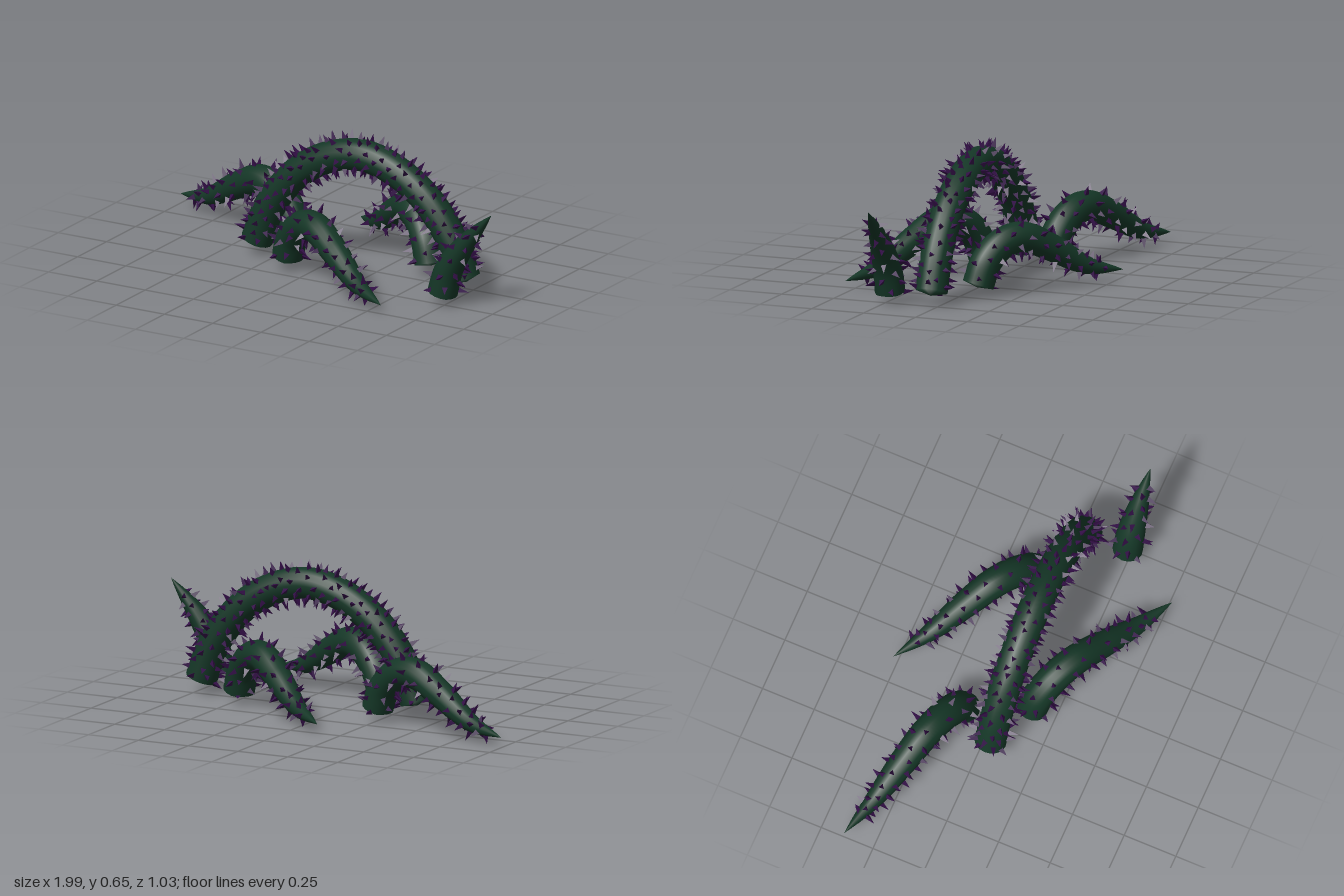
import * as THREE from 'three';
import { mergeGeometries } from 'three/addons/utils/BufferGeometryUtils.js';

const green = new THREE.MeshStandardMaterial({ color: 0x143626 });
const purple = new THREE.MeshStandardMaterial({ color: 0x340f48, flatShading: true });
const SEGMENTS = 80, SIDES = 16, GROUND = 0.042;

function seeded(seed) {
  return () => (seed = (seed * 16807) % 2147483647) / 2147483647;
}

// Stem: a tube whose rings are scaled by radius(t); the end rings close to a point as caps
function stemGeometry(curve, radius) {
  const geo = new THREE.TubeGeometry(curve, SEGMENTS, 1, SIDES);
  const pos = geo.attributes.position, nor = geo.attributes.normal;
  const v = new THREE.Vector3();
  for (let i = 0; i <= SEGMENTS; i++) {
    const t = i / SEGMENTS, end = i === 0 || i === SEGMENTS;
    const center = curve.getPointAt(t);
    const tangent = curve.getTangentAt(t).multiplyScalar(i === 0 ? -1 : 1);
    for (let j = 0; j <= SIDES; j++) {
      const k = i * (SIDES + 1) + j;
      v.fromBufferAttribute(pos, k).sub(center).multiplyScalar(end ? 0 : radius(t)).add(center);
      pos.setXYZ(k, v.x, Math.max(v.y, GROUND), v.z);
      if (end) nor.setXYZ(k, tangent.x, tangent.y, tangent.z);
    }
  }
  return geo;
}

// Thorns: small three-sided spikes set in a spiral along the stem
function thornGeometry(curve, radius, count, lastT, random) {
  const frames = curve.computeFrenetFrames(200, false);
  const up = new THREE.Vector3(0, 1, 0), one = new THREE.Vector3(1, 1, 1);
  const thorns = [];
  for (let i = 0; i < count; i++) {
    const t = 0.015 + (lastT - 0.015) * (i + random() * 0.8) / count;
    const angle = i * 2.39996 + random() * 0.5;
    const f = Math.round(t * 200);
    const out = frames.normals[f].clone().multiplyScalar(Math.cos(angle))
      .addScaledVector(frames.binormals[f], Math.sin(angle));
    const base = curve.getPointAt(t).addScaledVector(out, radius(t) - 0.006);
    const length = 0.036 + random() * 0.018;
    const lean = out.clone().addScaledVector(frames.tangents[f], (random() - 0.5) * 0.4).normalize();
    const cone = new THREE.ConeGeometry(0.016, length, 3);
    cone.rotateY(random() * Math.PI * 2);
    cone.translate(0, length / 2, 0);
    cone.applyMatrix4(new THREE.Matrix4().compose(base,
      new THREE.Quaternion().setFromUnitVectors(up, lean), one));
    // keep thorns above the floor, and the foot of each stem flat
    const floor = t < 0.15 ? GROUND : 0;
    const p = cone.attributes.position;
    for (let k = 0; k < p.count; k++) p.setY(k, Math.max(p.getY(k), floor));
    thorns.push(cone);
  }
  return mergeGeometries(thorns);
}

function makeVine(name, points, radius, count, lastT, seed) {
  const curve = new THREE.CatmullRomCurve3(points.map(p => new THREE.Vector3(...p)));
  const vine = new THREE.Group();
  vine.name = name;
  const stem = new THREE.Mesh(stemGeometry(curve, radius), green);
  stem.name = name + 'Stem';
  const thorns = new THREE.Mesh(thornGeometry(curve, radius, count, lastT, seeded(seed)), purple);
  thorns.name = name + 'Thorns';
  vine.add(stem, thorns);
  return vine;
}

// Side vines share one profile: rise steeply, bend over, then trail along the floor
const trailProfile = [[0, 0.05], [0.06, 0.16], [0.17, 0.235], [0.31, 0.254],
  [0.51, 0.188], [0.75, 0.09], [1, 0.05]];
function trailingPoints([x0, z0], [x1, z1]) {
  return trailProfile.map(([f, y]) => [x0 + (x1 - x0) * f, y, z0 + (z1 - z0) * f]);
}

export function createModel() {
  const model = new THREE.Group();
  model.name = 'thornyVines';
  const taper = t => 0.071 * (1 - Math.pow(t, 3.5));

  // Large arch, even in thickness, mirrored about its crown
  const half = [[0.545, 0.05], [0.468, 0.24], [0.333, 0.41], [0.165, 0.515]];
  const arch = [
    ...half.map(([d, y]) => [0.19 - d, y, 0.037]),
    [0.19, 0.552, 0.037],
    ...half.slice().reverse().map(([d, y]) => [0.19 + d, y, 0.037]),
  ];
  model.add(makeVine('archVine', arch, () => 0.072, 270, 0.985, 11));

  // Three trailing vines
  model.add(makeVine('rightVine', trailingPoints([-0.24, -0.13], [-1, -0.39]), taper, 80, 0.9, 23));
  model.add(makeVine('frontVine', trailingPoints([-0.13, 0.14], [0.58, 0.515]), taper, 76, 0.88, 37));
  model.add(makeVine('backVine', trailingPoints([0.48, -0.08], [-0.145, -0.52]), taper, 74, 0.88, 53));

  // Short upright shoot
  const shoot = [[0.73, 0.05, 0.235], [0.765, 0.17, 0.235], [0.855, 0.31, 0.235], [0.985, 0.46, 0.235]];
  model.add(makeVine('leftShoot', shoot, t => 0.068 * (1 - Math.pow(t, 2.1)), 36, 0.82, 71));

  return model;
}
